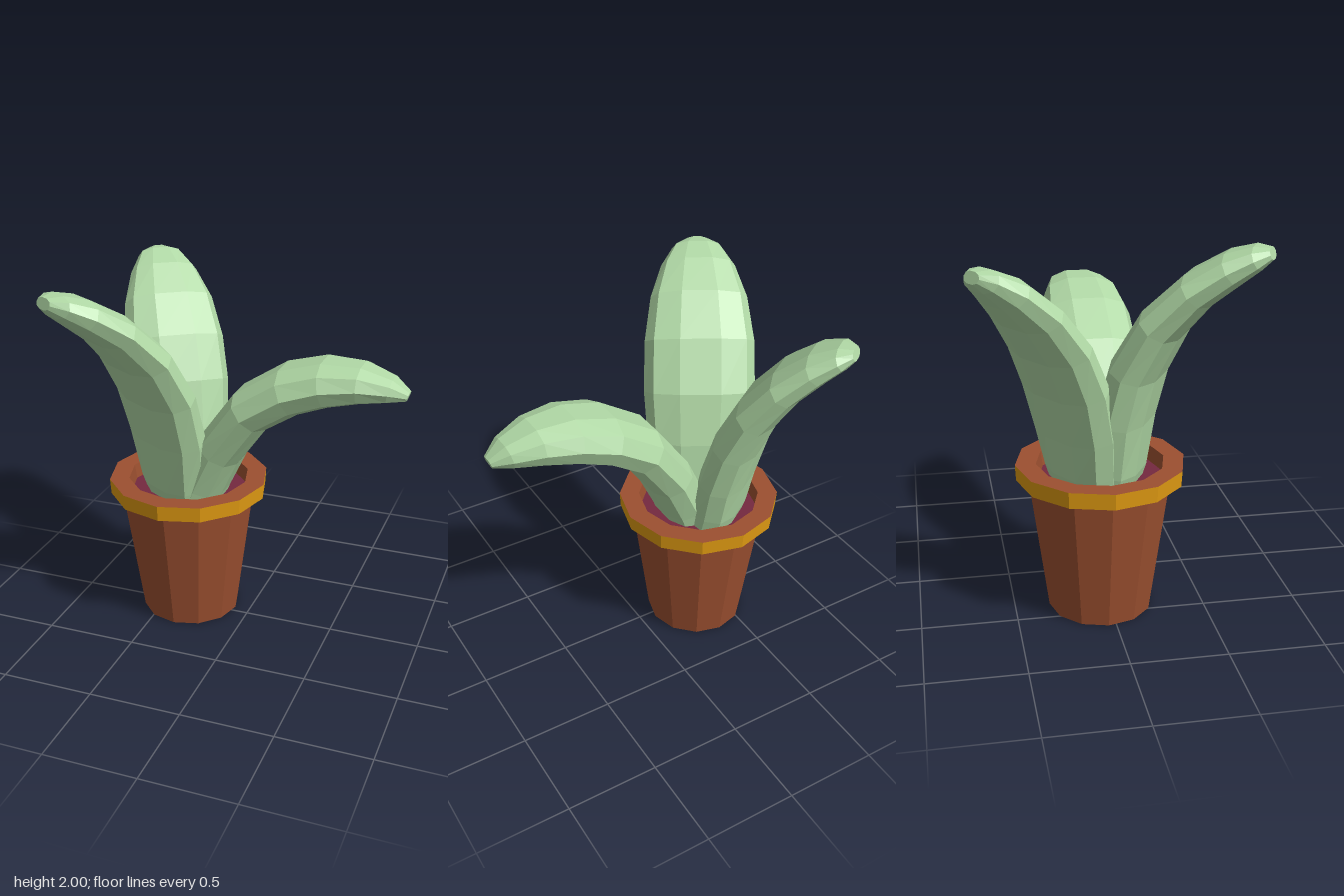
import * as THREE from 'three';

const make = (name, color) =>
  Object.assign(new THREE.MeshStandardMaterial({ color, flatShading: true }), { name });

const POT_X = -0.36, POT_Z = -0.04, SIDES = 12;

// Revolved 12-sided shell from [radius, y] pairs
function lathe(name, profile, material) {
  const points = profile.map(([r, y]) => new THREE.Vector2(r, y));
  const mesh = new THREE.Mesh(new THREE.LatheGeometry(points, SIDES), material);
  mesh.name = name;
  return mesh;
}

// Leaf: flattened ten-sided rings along a spine; each ring is [out, y, halfThickness, halfWidth]
function leafGeometry(rings) {
  const n = 10, pos = [], index = [];
  const soften = v => Math.sign(v) * Math.abs(v) ** 0.85;
  rings.forEach(([x, y, t, w], i) => {
    const a = rings[Math.max(i - 1, 0)], b = rings[Math.min(i + 1, rings.length - 1)];
    const len = Math.hypot(b[0] - a[0], b[1] - a[1]);
    const tx = (b[0] - a[0]) / len, ty = (b[1] - a[1]) / len;
    for (let j = 0; j < n; j++) {
      const ang = (j / n) * Math.PI * 2;
      const s = -soften(Math.sin(ang)) * t, c = soften(Math.cos(ang)) * w;
      pos.push(x - ty * s, y + tx * s, c);
    }
  });
  for (let i = 0; i < rings.length - 1; i++) {
    for (let j = 0; j < n; j++) {
      const k = (j + 1) % n, p = i * n, q = p + n;
      index.push(p + j, p + k, q + k, p + j, q + k, q + j);
    }
  }
  // end caps
  const last = (rings.length - 1) * n;
  for (let j = 1; j < n - 1; j++) {
    index.push(0, j + 1, j, last, last + j, last + j + 1);
  }
  const g = new THREE.BufferGeometry();
  g.setAttribute('position', new THREE.Float32BufferAttribute(pos, 3));
  g.setIndex(index);
  g.computeVertexNormals();
  return g;
}

const droopingLeaf = [
  [0.06, 0.65, 0.12, 0.19], [0.115, 0.82, 0.13, 0.205], [0.22, 1.04, 0.13, 0.225],
  [0.40, 1.29, 0.13, 0.245], [0.61, 1.425, 0.13, 0.24], [0.80, 1.485, 0.122, 0.215],
  [0.98, 1.5, 0.1, 0.17], [1.13, 1.482, 0.065, 0.11], [1.22, 1.455, 0.025, 0.045],
];
const frontLeaf = [
  [0.06, 0.65, 0.12, 0.2], [0.10, 0.82, 0.13, 0.235], [0.14, 1.1, 0.13, 0.285],
  [0.21, 1.36, 0.125, 0.305], [0.34, 1.6, 0.115, 0.3], [0.51, 1.78, 0.1, 0.265],
  [0.67, 1.89, 0.085, 0.205], [0.78, 1.945, 0.06, 0.14], [0.84, 1.965, 0.03, 0.06],
];
const backLeaf = [
  [0.09, 0.65, 0.12, 0.2], [0.13, 0.82, 0.13, 0.23], [0.17, 1.03, 0.13, 0.265],
  [0.24, 1.28, 0.125, 0.285], [0.34, 1.5, 0.115, 0.28], [0.48, 1.69, 0.1, 0.25],
  [0.62, 1.82, 0.085, 0.19], [0.73, 1.89, 0.06, 0.125], [0.785, 1.91, 0.03, 0.055],
];

export function createModel() {
  const terracotta = make('terracotta', 0x9c5030);
  const gold = make('gold', 0xdf9a12);
  const soilRed = make('soil red', 0x74293f);
  const leafGreen = make('leaf green', 0xb0d8a5);

  const model = new THREE.Group();
  model.name = 'pottedPlant';

  // Pot
  const pot = new THREE.Group();
  pot.name = 'pot';
  pot.position.set(POT_X, 0, POT_Z);
  pot.add(
    lathe('potBody', [[0, 0], [0.275, 0], [0.375, 0.735], [0.438, 0.735]], terracotta),
    lathe('rimBand', [[0.438, 0.735], [0.443, 0.82]], gold),
    lathe('rimTopAndInside', [[0.443, 0.82], [0.335, 0.82], [0.32, 0.72]], terracotta),
    lathe('soil', [[0.325, 0.74], [0, 0.74]], soilRed),
  );
  model.add(pot);

  // Leaves fanned around the pot
  const leaves = [
    ['droopingLeaf', droopingLeaf, 0, 0.03],
    ['frontLeaf', frontLeaf, -120, 0],
    ['backLeaf', backLeaf, 124, 0],
  ];
  for (const [name, rings, degrees, shiftZ] of leaves) {
    const leaf = new THREE.Mesh(leafGeometry(rings), leafGreen);
    leaf.name = name;
    leaf.position.set(POT_X, 0, POT_Z + shiftZ);
    leaf.rotation.y = THREE.MathUtils.degToRad(degrees);
    model.add(leaf);
  }
  return model;
}
